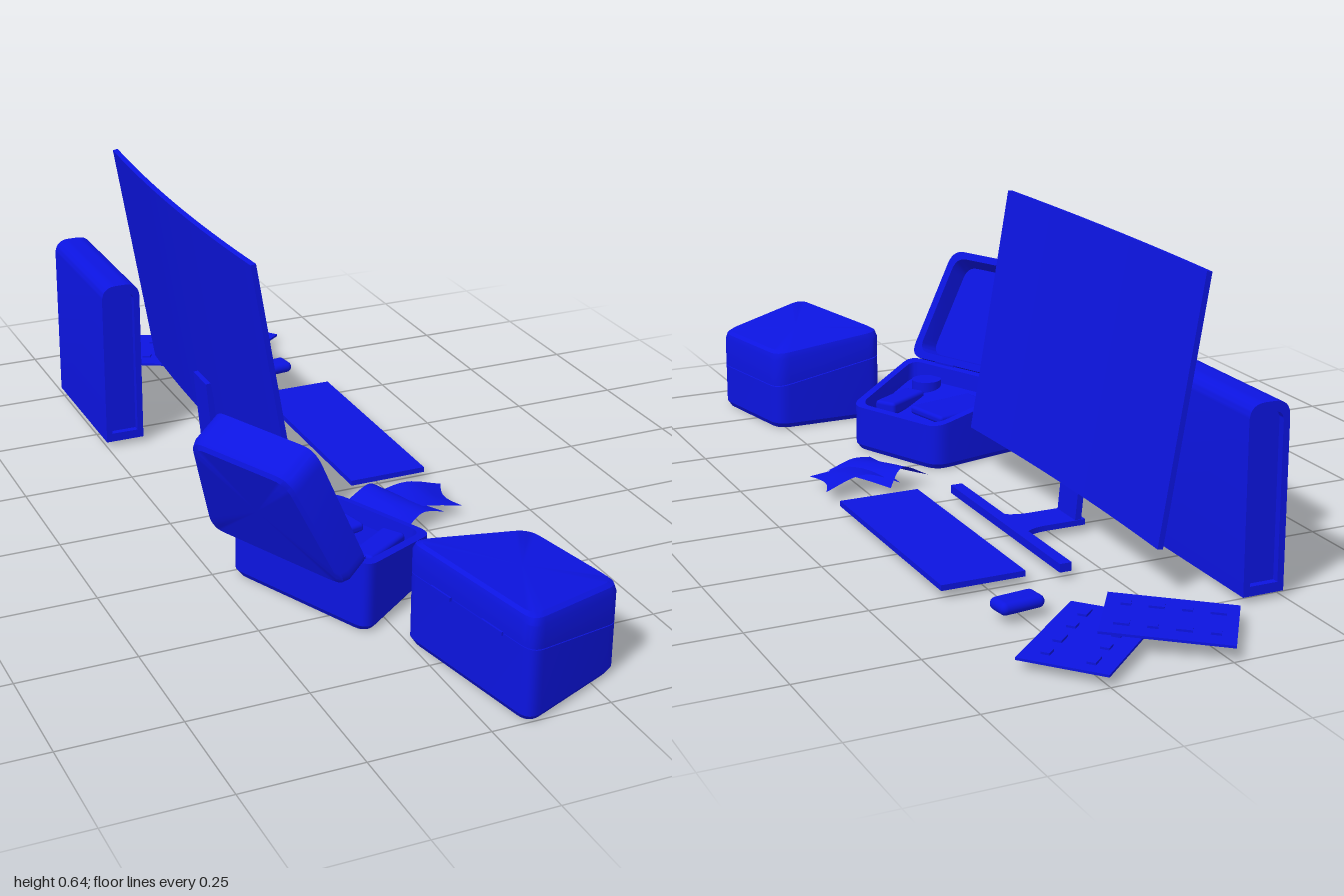
import * as THREE from 'three';
import { toCreasedNormals } from 'three/addons/utils/BufferGeometryUtils.js';
import { RoundedBoxGeometry } from 'three/addons/geometries/RoundedBoxGeometry.js';

const mat = new THREE.MeshStandardMaterial({ color: 0x0c14e0, side: THREE.DoubleSide });

function add(parent, name, geo, x = 0, y = 0, z = 0, ry = 0) {
  const m = new THREE.Mesh(geo, mat);
  m.name = name;
  m.position.set(x, y, z);
  m.rotation.y = ry;
  parent.add(m);
  return m;
}

// Move every vertex by a rule
function warp(geo, rule) {
  const p = geo.attributes.position, v = new THREE.Vector3();
  for (let i = 0; i < p.count; i++) {
    v.fromBufferAttribute(p, i);
    rule(v);
    p.setXYZ(i, v.x, v.y, v.z);
  }
  geo.computeVertexNormals();
  return geo;
}

// Case plan: four corners (x, z) rounded with short curves; the hinge runs from first to last
const CORNERS = [[0, 0], [0.272, 0], [0.322, 0.265], [0.07, 0.375]].map(c => new THREE.Vector2(...c));
const CENTER = new THREE.Vector2(0.165, 0.16);
function caseOutline() {
  const pts = [], r = 0.035, n = 6;
  CORNERS.forEach((c, i) => {
    const toward = o => o.clone().sub(c).setLength(r).add(c);
    const a = toward(CORNERS[(i + 3) % 4]), b = toward(CORNERS[(i + 1) % 4]);
    pts.push(...new THREE.QuadraticBezierCurve(a, c, b).getPoints(n));
  });
  return pts;
}
const across = (x, z) => Math.min(1, Math.max(0, (x - 0.187 * z) / 0.27));
const seam = (x, z) => 0.155 - 0.05 * across(x, z);
const roof = (x, z) => 0.222 - 0.032 * across(x, z);

// Loft the plan through levels of [scale, height rule], capped at both ends
function loftCase(levels) {
  const ring = caseOutline(), n = ring.length, pos = [];
  const rows = levels.map(([s, h]) => ring.map(p => {
    const q = p.clone().sub(CENTER).multiplyScalar(s).add(CENTER);
    return [q.x, h(q.x, q.y), q.y];
  }));
  const mid = ([, h]) => [CENTER.x, h(CENTER.x, CENTER.y), CENTER.y];
  const c0 = mid(levels[0]), c1 = mid(levels[levels.length - 1]);
  for (let i = 0; i < n; i++) {
    const j = (i + 1) % n, last = rows[rows.length - 1];
    pos.push(...c0, ...rows[0][i], ...rows[0][j], ...c1, ...last[j], ...last[i]);
    for (let l = 0; l < rows.length - 1; l++) {
      const a = rows[l], b = rows[l + 1];
      pos.push(...a[i], ...b[i], ...a[j], ...a[j], ...b[i], ...b[j]);
    }
  }
  const g = new THREE.BufferGeometry();
  g.setAttribute('position', new THREE.Float32BufferAttribute(pos, 3));
  return toCreasedNormals(g, 0.5);
}

// Hinged case: hollow base and hollow lid, lid opened by an angle
function hingedCase(name, x, z, turn, open) {
  const g = new THREE.Group();
  g.name = name;
  g.position.set(x, 0, z);
  g.rotation.y = turn;
  add(g, 'caseBase', loftCase([
    [0.95, () => 0], [1, () => 0.012], [1, (a, b) => seam(a, b) - 0.002], [0.88, (a, b) => seam(a, b) - 0.002],
    [0.86, (a, b) => seam(a, b) - 0.04]]));
  const pivot = new THREE.Group();
  pivot.name = 'lidHinge';
  pivot.position.y = 0.155;
  pivot.quaternion.setFromAxisAngle(new THREE.Vector3(0.07, 0, 0.375).normalize(), open);
  add(pivot, 'caseLid', loftCase([
    [0.82, (a, b) => seam(a, b) + 0.04], [0.88, seam], [1, seam],
    [1, (a, b) => roof(a, b) - 0.02], [0.97, (a, b) => roof(a, b) - 0.006], [0.91, roof]]), 0, -0.155, 0);
  g.add(pivot);
  // Hinge knuckles along the long side
  for (const t of [0.3, 0.7])
    add(g, 'hingeKnuckle', new THREE.BoxGeometry(0.008, 0.008, 0.06), 0.07 * t, 0.153, 0.375 * t, 0.185);
  return g;
}

function monitor() {
  const g = new THREE.Group();
  g.name = 'monitor';
  g.position.z = -0.255;
  // Gently curved panel leaning back
  const panel = warp(new THREE.BoxGeometry(0.012, 0.545, 0.85, 1, 1, 20),
    v => { v.x -= 0.014 * (1 - (v.z / 0.425) ** 2); });
  add(g, 'screenPanel', toCreasedNormals(panel, 0.5), -0.075, 0.368).rotation.z = 0.17;
  // Post and flared foot
  add(g, 'standPost', new THREE.BoxGeometry(0.014, 0.2, 0.08), -0.063, 0.115).rotation.z = 0.1;
  const s = new THREE.Shape();
  s.moveTo(-0.07, -0.042);
  s.lineTo(0.02, -0.042);
  s.quadraticCurveTo(0.06, -0.042, 0.085, -0.07);
  s.lineTo(0.085, 0.07);
  s.quadraticCurveTo(0.06, 0.042, 0.02, 0.042);
  s.lineTo(-0.07, 0.042);
  const foot = new THREE.ExtrudeGeometry(s, { depth: 0.012, bevelEnabled: false });
  foot.rotateX(-Math.PI / 2);
  add(g, 'standFoot', foot, 0, 0.016);
  add(g, 'standBar', new THREE.BoxGeometry(0.026, 0.018, 0.52), 0.088, 0.024);
  return g;
}

function roundTop(w, h, r) {
  const s = new THREE.Shape();
  s.moveTo(-w, 0);
  s.lineTo(w, 0);
  s.lineTo(w, h - r);
  s.quadraticCurveTo(w, h, w - r, h);
  s.lineTo(r - w, h);
  s.quadraticCurveTo(-w, h, -w, h - r);
  return s;
}

function tower() {
  const g = new THREE.Group();
  g.name = 'computerTower';
  g.position.set(-0.205, 0.012, -0.598);
  // Shell with recessed panels at both ends
  const shell = roundTop(0.045, 0.386, 0.035), hole = roundTop(0.031, 0.345, 0.022);
  shell.holes.push(new THREE.Path(hole.getPoints().map(p => p.add(new THREE.Vector2(0, 0.02)))));
  const geo = new THREE.ExtrudeGeometry(shell, { depth: 0.35, bevelEnabled: false, curveSegments: 10 });
  add(g, 'towerShell', toCreasedNormals(geo, 0.5), 0, 0, -0.175);
  const core = new THREE.ExtrudeGeometry(hole, { depth: 0.32, bevelEnabled: false });
  add(g, 'recessedPanels', core, 0, 0.02, -0.16);
  return g;
}

// Circuit board with small chips
function board(x, y, z, turn, tilt, w, d) {
  const g = new THREE.Group();
  g.name = 'circuitBoard';
  g.position.set(x, y, z);
  g.rotation.set(0, turn, tilt);
  add(g, 'boardPlate', new THREE.BoxGeometry(w, 0.005, d));
  for (let i = 0; i < 4; i++) for (let k = 0; k < 2; k++)
    add(g, 'chip', new THREE.BoxGeometry(0.02 + 0.01 * ((i + k) % 2), 0.006, 0.018),
      w * (i - 1.5) * 0.23, 0.004, d * (k - 0.5) * 0.5);
  return g;
}

// Curled sheet spanning four corners (x, z)
function sheet(corners, y, lift) {
  const [a, b, c, d] = corners;
  const geo = warp(new THREE.PlaneGeometry(1, 1, 10, 10), v => {
    const u = v.x + 0.5, t = v.y + 0.5;
    const mix = k => (a[k] * (1 - u) + b[k] * u) * (1 - t) + (d[k] * (1 - u) + c[k] * u) * t;
    const pinch = 1 - 0.3 * (u * (1 - u) + t * (1 - t)) * 4 * Math.max(Math.abs(u - 0.5), Math.abs(t - 0.5));
    const px = 0.232 + (mix(0) - 0.232) * pinch, pz = 0.168 + (mix(1) - 0.168) * pinch;
    v.set(px, y + lift * Math.sin(Math.PI * u) * (1 - 0.5 * t), pz);
  });
  return geo;
}

export function createModel() {
  const root = new THREE.Group();
  root.name = 'deskSet';
  root.add(monitor(), tower());
  root.add(hingedCase('closedCase', 0, 0.637, 0, 0));

  // Open case with its contents
  const open = hingedCase('openCase', -0.213, 0.252, 0.227, 2.09);
  add(open, 'roundInsert', new THREE.CylinderGeometry(0.035, 0.035, 0.03, 24), 0.1, 0.11, 0.27);
  add(open, 'blockInsert', new RoundedBoxGeometry(0.13, 0.03, 0.055, 2, 0.008), 0.2, 0.095, 0.24, 0.35);
  add(open, 'trayInsert', new RoundedBoxGeometry(0.17, 0.02, 0.12, 2, 0.008), 0.145, 0.1, 0.1);
  root.add(open);

  // Keyboard and mouse
  add(root, 'keyboard', new THREE.BoxGeometry(0.18, 0.012, 0.53), 0.264, 0.024, -0.245);
  add(root, 'mouse', new RoundedBoxGeometry(0.098, 0.026, 0.056, 4, 0.013), 0.259, 0.03, -0.647, 0.12);

  // Boards at the back
  root.add(board(0.045, 0.034, -0.85, -0.59, 0.05, 0.25, 0.19));
  root.add(board(0.21, 0.026, -0.845, 0.7, -0.04, 0.26, 0.18));

  // Curled paper
  add(root, 'curledSheet', sheet([[0.11, 0.11], [0.22, 0.06], [0.3, 0.23], [0.18, 0.28]], 0.026, 0.03));
  add(root, 'curledSheet', sheet([[0.185, 0.09], [0.355, 0.1], [0.35, 0.215], [0.16, 0.21]], 0.024, 0.025));
  return root;
}
